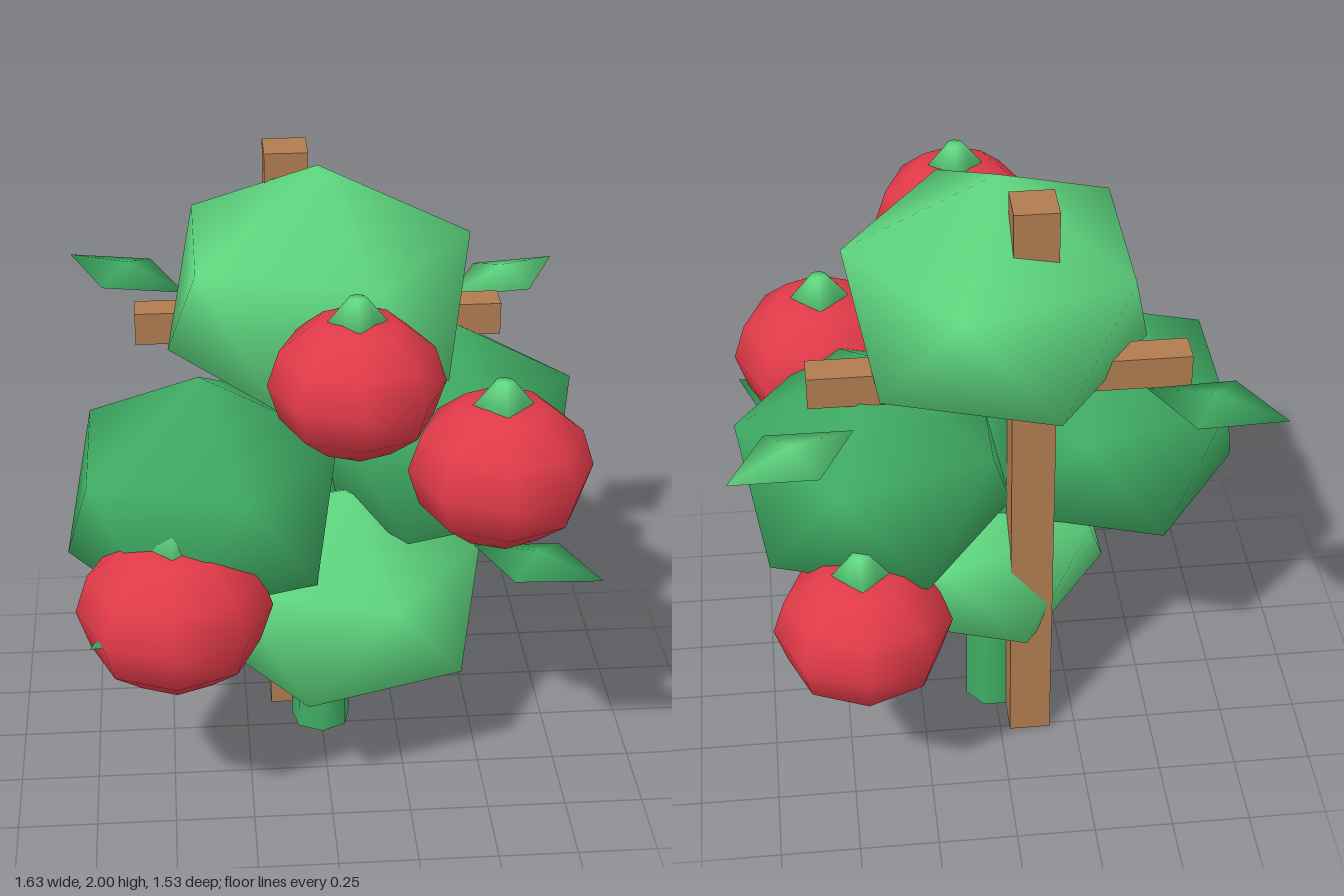
import * as THREE from 'three';
import { mergeVertices } from 'three/addons/utils/BufferGeometryUtils.js';

const flat = (name, color) => {
  const m = new THREE.MeshStandardMaterial({ color });
  m.name = name;
  return m;
};

// Twelve-cornered clump: two poles and two staggered rings of five
function clumpGeometry() {
  const ring = (y, offset) => Array.from({ length: 5 }, (_, i) => {
    const a = (i + offset) * Math.PI * 0.4;
    return [0.894 * Math.cos(a), y, 0.894 * Math.sin(a)];
  });
  const points = [[0, 1, 0], ...ring(0.447, 0), ...ring(-0.447, 0.5), [0, -1, 0]];
  const index = [];
  for (let i = 0; i < 5; i++) {
    const u = 1 + i, u2 = 1 + (i + 1) % 5, l = u + 5, l2 = u2 + 5;
    index.push(0, u2, u, u, u2, l, u2, l2, l, l, l2, 11);
  }
  const g = new THREE.BufferGeometry();
  g.setAttribute('position', new THREE.Float32BufferAttribute(points.flat(), 3));
  g.setIndex(index);
  return g;
}

// Four-pointed cap with a blunt top and drooping tips
function calyxGeometry() {
  let g = new THREE.CylinderGeometry(0.028, 0.09, 0.065, 8);
  g.deleteAttribute('uv');
  g.deleteAttribute('normal');
  g = mergeVertices(g);
  const p = g.attributes.position;
  for (let i = 0; i < p.count; i++) {
    const x = p.getX(i), z = p.getZ(i);
    if (p.getY(i) > 0 || Math.hypot(x, z) < 0.01) continue;
    const diagonal = Math.abs(x * z) > 0.001;
    if (diagonal) p.setXYZ(i, x * 0.74, p.getY(i), z * 0.74);
    else p.setY(i, p.getY(i) - 0.01);
  }
  g.computeVertexNormals();
  return g;
}

// Flattened diamond, long along x
function leafGeometry() {
  let g = new THREE.OctahedronGeometry(1);
  g.deleteAttribute('uv');
  g.deleteAttribute('normal');
  g = mergeVertices(g);
  g.scale(0.225, 0.042, 0.137);
  g.computeVertexNormals();
  return g;
}

export function createModel() {
  const model = new THREE.Group();
  const light = flat('light leaf green', 0x5fd880);
  const dark = flat('dark leaf green', 0x40ad64);
  const red = flat('fruit red', 0xe03a48);
  const wood = flat('stake brown', 0xb07c50);

  const add = (name, geometry, material, x, y, z, parent = model) => {
    const mesh = new THREE.Mesh(geometry, material);
    mesh.name = name;
    mesh.position.set(x, y, z);
    parent.add(mesh);
    return mesh;
  };

  // Support and stem
  add('stake', new THREE.BoxGeometry(0.134, 2, 0.134), wood, -0.098, 1, -0.199);
  add('crossbar', new THREE.BoxGeometry(1.155, 0.105, 0.1), wood, 0.002, 1.42, -0.205);
  add('stem', new THREE.CylinderGeometry(0.08, 0.1, 1.6, 7), dark, 0, 0.8, -0.05);

  // Foliage clumps: name, colour, centre, radius, half height
  for (const [name, mat, x, y, z, r, h] of [
    ['lowerFoliage', light, 0.06, 0.595, 0.1, 0.495, 0.365],
    ['leftFoliage', dark, 0.38, 1.045, -0.12, 0.475, 0.405],
    ['rightFoliage', dark, -0.385, 0.98, 0.14, 0.475, 0.415],
    ['topFoliage', light, -0.01, 1.59, -0.03, 0.52, 0.41],
  ]) {
    const g = clumpGeometry().scale(r, h, r);
    g.computeVertexNormals();
    add(name, g, mat, x, y, z);
  }

  // Fruits with their caps: centre, radius, half height
  const calyx = calyxGeometry();
  for (const [x, y, z, r] of [
    [0.065, 1.542, 0.507, 0.258],
    [0.518, 1.16, 0.345, 0.283],
    [-0.48, 0.765, 0.445, 0.3],
    [0.45, 0.71, -0.492, 0.275],
  ]) {
    const h = r * 0.83;
    const fruit = new THREE.Group();
    fruit.name = 'fruit';
    fruit.position.set(x, y, z);
    model.add(fruit);
    const body = new THREE.SphereGeometry(r, 8, 6).scale(1, 0.83, 1);
    add('fruitBody', body, red, 0, 0, 0, fruit);
    add('fruitCap', calyx, light, 0, h + 0.02, 0, fruit).scale.setScalar(r / 0.265);
  }

  // Single leaves: colour, centre, heading, rise toward the tip
  const leaf = leafGeometry();
  for (const [mat, x, y, z, yaw, rise] of [
    [dark, -0.602, 1.465, -0.493, Math.PI - 0.6, 0.08],
    [light, 0.635, 1.4, -0.53, 0.6, 0.05],
    [dark, 0.625, 0.885, 0.455, -0.66, 0.05],
    [dark, -0.555, 0.76, 0.515, Math.PI + 0.66, 0.02],
  ]) {
    const mesh = add('leaf', leaf, mat, x, y, z);
    mesh.rotation.set(0, yaw, rise);
  }
  return model;
}
